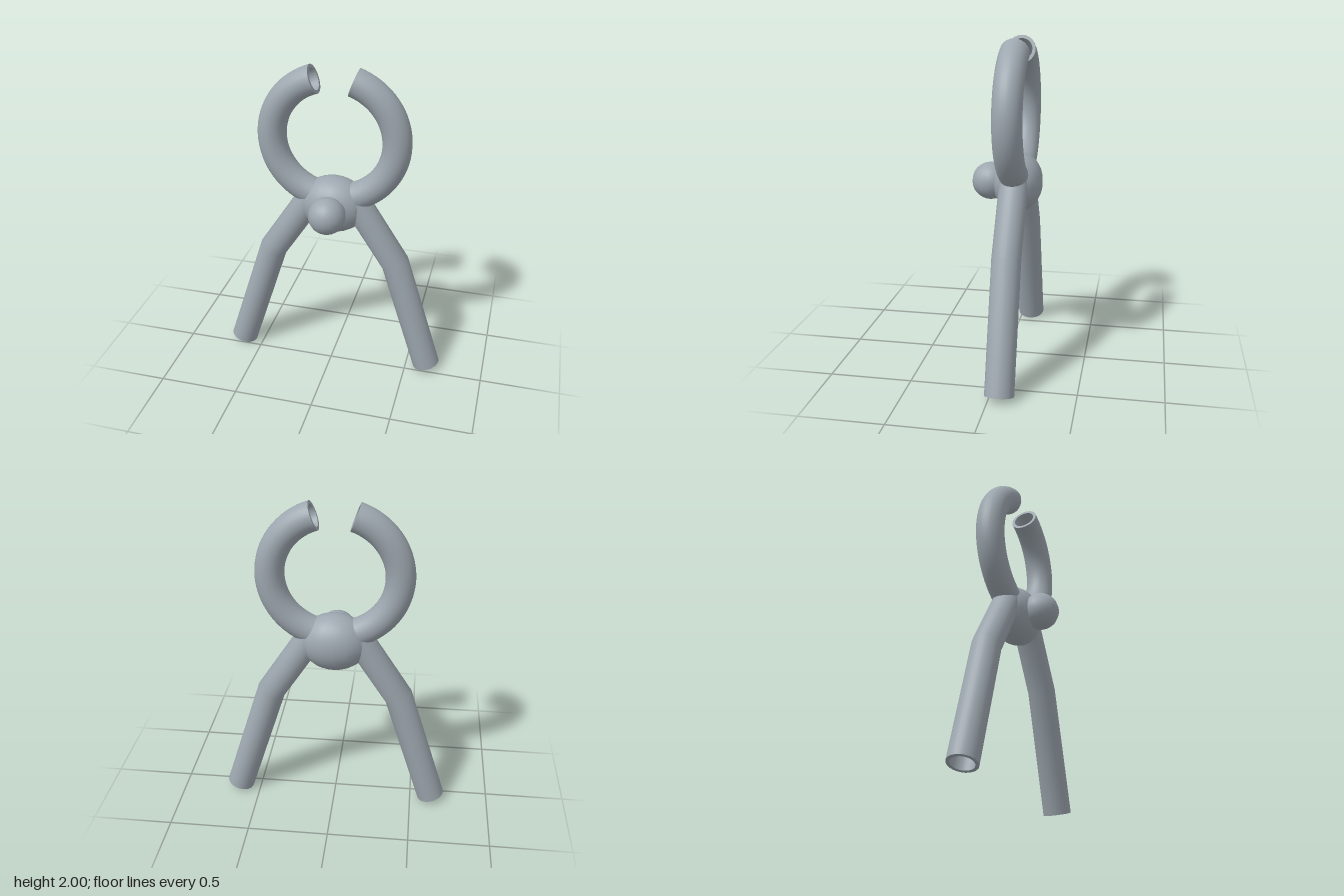
import * as THREE from 'three';

const TUBE_R = 0.087, BORE_R = 0.067, TUBE_Z = -0.064, SIDES = 24;

// Surface of rings swept along a flat path with mitred corners; inward turns it to face the axis
function sweep(path, radius, inward) {
  const pos = [], idx = [];
  path.forEach((p, i) => {
    const a = path[Math.max(i - 1, 0)], b = path[Math.min(i + 1, path.length - 1)];
    const d1 = (i > 0 ? p.clone().sub(a) : b.clone().sub(p)).normalize();
    const d2 = (i < path.length - 1 ? b.clone().sub(p) : p.clone().sub(a)).normalize();
    const t = d1.clone().add(d2).normalize();
    const w = radius / t.dot(d1);
    for (let j = 0; j <= SIDES; j++) {
      const u = (j / SIDES) * Math.PI * 2;
      const c = Math.cos(u) * w;
      pos.push(p.x + t.y * c, p.y - t.x * c, Math.sin(u) * radius);
    }
  });
  const n = SIDES + 1;
  for (let i = 0; i < path.length - 1; i++) {
    for (let j = 0; j < SIDES; j++) {
      const a = i * n + j, b = a + 1, c = a + n, d = c + 1;
      if (inward) idx.push(a, b, c, b, d, c);
      else idx.push(a, c, b, b, c, d);
    }
  }
  const geo = new THREE.BufferGeometry();
  geo.setAttribute('position', new THREE.Float32BufferAttribute(pos, 3));
  geo.setIndex(idx);
  geo.computeVertexNormals();
  // Weld the normals along the lengthwise seam
  const nor = geo.attributes.normal, v = new THREE.Vector3(), q = new THREE.Vector3();
  for (let i = 0; i < path.length; i++) {
    const s = i * n, e = s + SIDES;
    v.fromBufferAttribute(nor, s).add(q.fromBufferAttribute(nor, e)).normalize();
    nor.setXYZ(s, v.x, v.y, v.z);
    nor.setXYZ(e, v.x, v.y, v.z);
  }
  return geo;
}

// Hollow pipe: outer wall, bore and a flat rim at each end
function pipe(name, path, material) {
  const group = new THREE.Group();
  group.name = name;
  const add = (part, geo) => {
    const mesh = new THREE.Mesh(geo, material);
    mesh.name = name + part;
    group.add(mesh);
    return mesh;
  };
  add('Wall', sweep(path, TUBE_R, false));
  add('Bore', sweep(path, BORE_R, true));
  const last = path.length - 1;
  [[path[0], path[1]], [path[last], path[last - 1]]].forEach(([end, next]) => {
    const rim = add('Rim', new THREE.RingGeometry(BORE_R, TUBE_R, SIDES));
    rim.position.set(end.x, end.y, 0);
    rim.lookAt(end.x * 2 - next.x, end.y * 2 - next.y, 0);
  });
  group.position.z = TUBE_Z;
  return group;
}

export function createModel() {
  const model = new THREE.Group();
  model.name = 'pincers';
  const steel = new THREE.MeshStandardMaterial({ color: 0x9da7af });
  steel.name = 'steel grey';

  // Curved jaws and bent handles, mirrored left and right
  const ringR = 0.38, ringY = 1.56, reach = THREE.MathUtils.degToRad(71.8);
  for (const [side, s] of [['left', 1], ['right', -1]]) {
    const arc = [];
    for (let i = 0; i <= 32; i++) {
      const a = -reach + (i / 32) * reach * 2;
      arc.push(new THREE.Vector2(s * ringR * Math.cos(a), ringY + ringR * Math.sin(a)));
    }
    model.add(pipe(side + 'Jaw', arc, steel));

    const handle = [[0.633, 0.026], [0.397, 0.77], [0.118, 1.2]]
      .map(([x, y]) => new THREE.Vector2(s * x, y));
    model.add(pipe(side + 'Handle', handle, steel));
  }

  // Flattened pivot body
  const pivot = new THREE.Mesh(new THREE.SphereGeometry(1, 16, 32), steel);
  pivot.name = 'pivotBody';
  pivot.scale.set(0.21, 0.18, 0.152);
  pivot.position.set(0, 1.135, -0.066);
  model.add(pivot);

  // Round rivet on the front
  const rivet = new THREE.Mesh(new THREE.SphereGeometry(0.114, 16, 32), steel);
  rivet.name = 'pivotRivet';
  rivet.position.set(0, 1.135, 0.102);
  model.add(rivet);

  return model;
}
